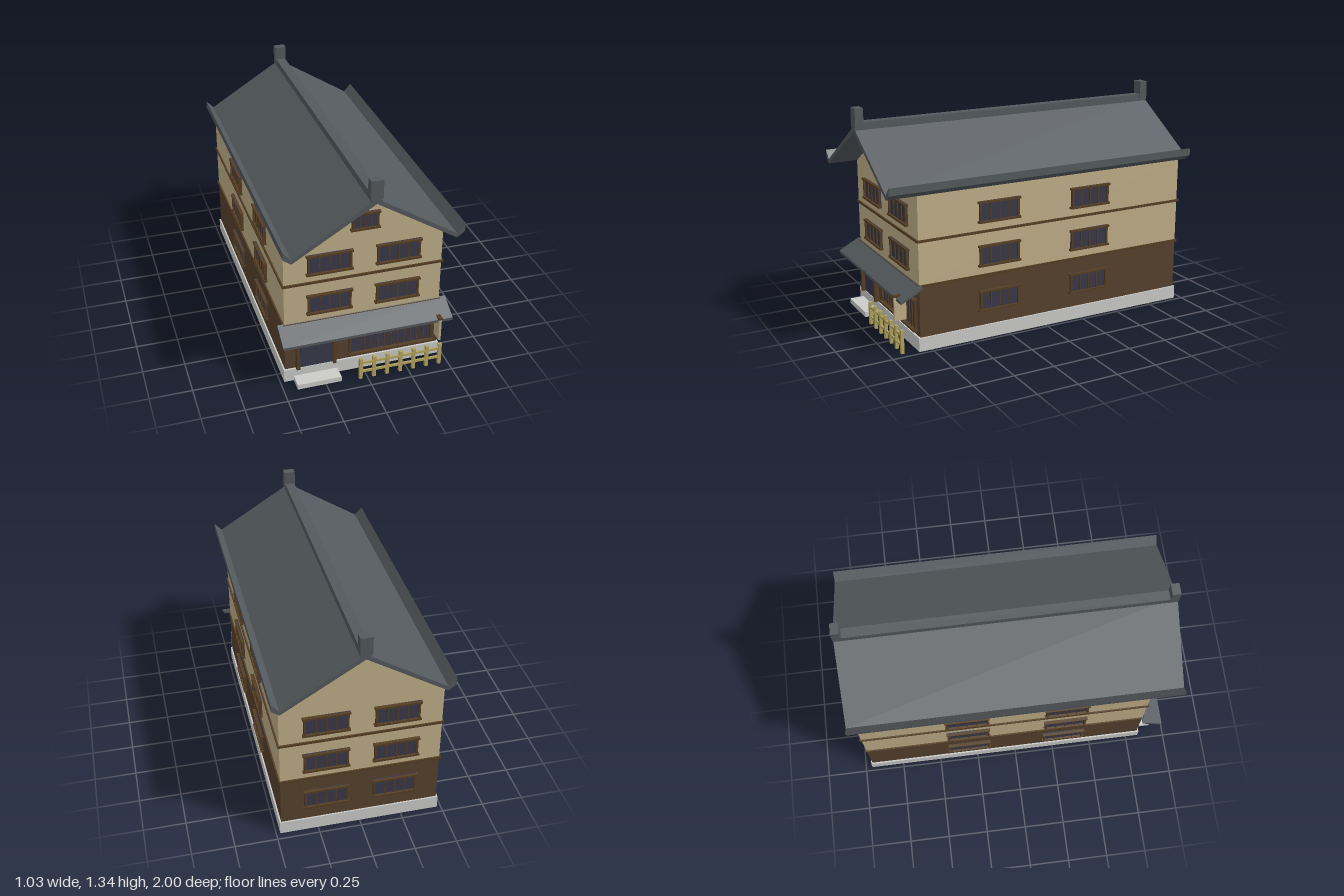
import * as THREE from 'three';

const mat = (name, color, side = THREE.FrontSide) => {
  const m = new THREE.MeshStandardMaterial({ color, side });
  m.name = name;
  return m;
};

export function createModel() {
  const cream = mat('cream plaster', 0xc0ae88);
  const brown = mat('dark timber', 0x56412d);
  const trim = mat('trim timber', 0x553e24);
  const slate = mat('slate roof', 0x53595d);
  const stone = mat('pale stone', 0xcbccc9);
  const glass = mat('dark glass', 0x37374a);
  const bamboo = mat('bamboo', 0xb4a45e);

  const model = new THREE.Group();
  model.name = 'townhouse';

  const FRONT = 0.818, BACK = -0.948, SIDE = 0.468;

  // Box given by its limits on each axis
  function box(parent, name, material, x0, x1, y0, y1, z0, z1) {
    const mesh = new THREE.Mesh(new THREE.BoxGeometry(x1 - x0, y1 - y0, z1 - z0), material);
    mesh.position.set((x0 + x1) / 2, (y0 + y1) / 2, (z0 + z1) / 2);
    mesh.name = name;
    parent.add(mesh);
    return mesh;
  }

  // Outline in x,y extruded from z0 to z1
  function prism(name, material, points, z0, z1) {
    const shape = new THREE.Shape(points.map(([x, y]) => new THREE.Vector2(x, y)));
    const geo = new THREE.ExtrudeGeometry(shape, { depth: z1 - z0, bevelEnabled: false });
    const mesh = new THREE.Mesh(geo, material);
    mesh.position.z = z0;
    mesh.name = name;
    model.add(mesh);
    return mesh;
  }

  function group(name) {
    const g = new THREE.Group();
    g.name = name;
    model.add(g);
    return g;
  }

  // Barred window facing +z, centred on its own origin
  function makeWindow(name, w, h, panes, depth = 0.021) {
    const g = group(name);
    const a = w / 2, b = h / 2, f = 0.012;
    box(g, 'pane', glass, -a, a, -b, b, -0.002, 0.006);
    for (const s of [-1, 1]) {
      const x = s * (a - f / 2), y = s * (b - f / 2);
      box(g, 'frameSide', trim, x - f / 2, x + f / 2, -b, b, -0.002, 0.017);
      box(g, 'rail', trim, -a - 0.008, a + 0.008, y - f / 2, y + f / 2, -0.002, depth);
    }
    const pitch = (w - 2 * f) / panes;
    for (let i = 1; i < panes; i++) {
      const x = -a + f + i * pitch;
      box(g, 'bar', trim, x - 0.004, x + 0.004, -b, b, -0.002, 0.013);
    }
    return g;
  }

  // Foundation and door step
  box(model, 'foundation', stone, -0.477, 0.477, 0, 0.082, -0.957, 0.83);
  box(model, 'doorStep', stone, -0.42, -0.155, 0, 0.032, 0.82, 0.918);

  // Walls
  box(model, 'groundFloorWalls', brown, -SIDE, SIDE, 0.08, 0.39, BACK, FRONT);
  prism('upperWalls', cream,
    [[-SIDE, 0.39], [SIDE, 0.39], [SIDE, 0.925], [0, 1.215], [-SIDE, 0.925]], BACK, FRONT);

  // Floor bands
  for (const y of [0.391, 0.655])
    box(model, 'floorBand', trim, -0.477, 0.477, y - 0.007, y + 0.007, BACK - 0.009, FRONT + 0.009);

  // Main roof with upturned eaves
  prism('mainRoof', slate, [
    [0, 1.205], [0.468, 0.917], [0.514, 0.95], [0.514, 0.994], [0.468, 0.944],
    [0, 1.235],
    [-0.468, 0.944], [-0.514, 0.994], [-0.514, 0.95], [-0.468, 0.917],
  ], -1, 1);
  box(model, 'ridgeBeam', slate, -0.03, 0.03, 1.21, 1.26, -0.999, 0.999);
  for (const s of [-1, 1]) {
    const z = s * 0.975;
    box(model, 'ridgeEnd', slate, -0.035, 0.035, 1.23, 1.342, z - 0.025, z + 0.025);
  }

  // Windows on every floor
  for (const y of [0.772, 0.51, 0.235]) {
    for (const s of [-1, 1]) {
      if (y > 0.3) makeWindow('frontWindow', 0.256, 0.128, 4).position.set(s * 0.203, y, FRONT);
      const back = makeWindow('backWindow', 0.256, 0.128, 4);
      back.position.set(s * 0.203, y, BACK);
      back.rotation.y = Math.PI;
      for (const z of [0.313, -0.297]) {
        const side = makeWindow('sideWindow', 0.256, 0.128, 4);
        side.position.set(s * SIDE, y, z);
        side.rotation.y = s * Math.PI / 2;
      }
    }
  }
  makeWindow('atticWindow', 0.155, 0.108, 4).position.set(0, 1.006, FRONT);
  makeWindow('shopLattice', 0.514, 0.197, 12, 0.03).position.set(0.174, 0.2085, FRONT);

  // Entrance with two sliding leaves
  const door = group('entrance');
  box(door, 'doorLeaf', glass, -0.39, -0.18, 0.082, 0.29, FRONT - 0.002, FRONT + 0.008);
  for (const x of [-0.375, -0.28])
    box(door, 'doorPane', glass, x, x + 0.088, 0.185, 0.286, FRONT, FRONT + 0.013);
  for (const x of [-0.405, -0.185])
    box(door, 'doorPost', trim, x, x + 0.02, 0.082, 0.305, FRONT - 0.002, FRONT + 0.03);
  box(door, 'doorLintel', trim, -0.405, -0.165, 0.288, 0.307, FRONT - 0.002, FRONT + 0.03);

  // Awning, swept along x from a z,y outline
  const awning = prism('awning', slate,
    [[-0.815, 0.385], [-0.815, 0.402], [-0.945, 0.334], [-0.945, 0.317]].reverse(), 0, 1.014);
  awning.rotation.y = Math.PI / 2;
  awning.position.set(-0.507, 0, 0);
  for (const x of [-0.45, 0, 0.45])
    box(model, 'awningBracket', trim, x - 0.008, x + 0.008, 0.338, 0.352, FRONT - 0.002, 0.895);

  // Hanging sign board
  box(model, 'signBoard', cream, 0.42, 0.434, 0.197, 0.338, 0.885, 0.957);
  box(model, 'signHanger', trim, 0.415, 0.439, 0.338, 0.35, 0.882, 0.958);

  // Bamboo fence
  const fence = group('fence');
  for (let i = 0; i < 7; i++) {
    const x = -0.042 + i * 0.0815;
    box(fence, 'fencePost', bamboo, x - 0.01, x + 0.01, 0, 0.142, 0.913, 0.932);
  }
  for (const y of [0.048, 0.109])
    box(fence, 'fenceRail', bamboo, -0.05, 0.455, y - 0.007, y + 0.007, 0.917, 0.928);

  return model;
}
